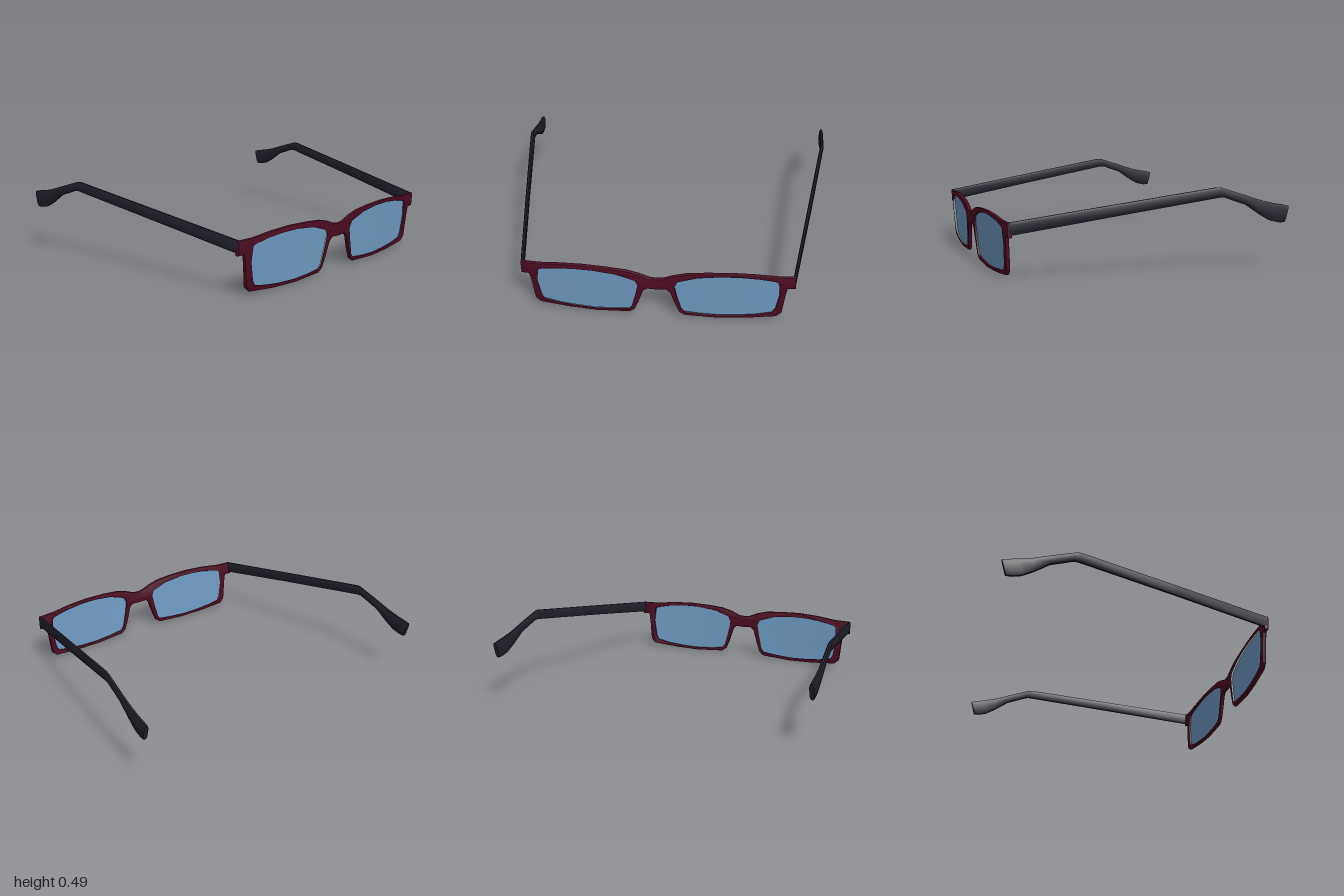
import * as THREE from 'three';
import { toCreasedNormals } from 'three/addons/utils/BufferGeometryUtils.js';

const mat = (name, color, side = THREE.FrontSide) =>
  Object.assign(new THREE.MeshStandardMaterial({ color, side }), { name });

// Half of the front outline, from top centre round to bottom centre
const HALF = [[0, 0.29], [0.04, 0.295], [0.1, 0.32], [0.17, 0.338], [0.28, 0.348], [0.42, 0.353],
  [0.55, 0.347], [0.68, 0.333], [0.785, 0.333], [0.787, 0.25], [0.742, 0.25], [0.734, 0.2],
  [0.72, 0.06], [0.69, 0.032], [0.52, 0.016], [0.35, 0.01], [0.16, 0.022], [0.13, 0.045],
  [0.108, 0.1], [0.078, 0.195], [0.055, 0.216], [0, 0.213]];

// Lens opening on the left side
const LENS = [[0.69, 0.292], [0.67, 0.303], [0.58, 0.32], [0.47, 0.33], [0.36, 0.33], [0.23, 0.315],
  [0.12, 0.278], [0.102, 0.24], [0.115, 0.17], [0.14, 0.07], [0.16, 0.045], [0.26, 0.033],
  [0.37, 0.027], [0.48, 0.032], [0.58, 0.042], [0.665, 0.06], [0.682, 0.09], [0.7, 0.2]];

// Temple stations: x, y, z, half width, half height, lean of the cut in z
const TEMPLE = [[0.776, 0.297, 0.765, 0.009, 0.036, 0], [0.87, 0.385, 0.18, 0.011, 0.032, 0],
  [0.958, 0.468, -0.385, 0.012, 0.028, 0.01], [0.962, 0.466, -0.41, 0.012, 0.028, 0.01],
  [0.972, 0.422, -0.54, 0.012, 0.03, 0.01], [0.978, 0.374, -0.64, 0.012, 0.04, -0.005],
  [0.982, 0.347, -0.71, 0.013, 0.049, -0.01], [0.984, 0.336, -0.765, 0.013, 0.05, -0.012],
  [0.985, 0.332, -0.798, 0.013, 0.046, -0.012]];

const vecs = (pts, s = 1) => pts.map(([x, y]) => new THREE.Vector2(s * x, y));

// Wrap curve across the face plus a slight backward tilt towards the bottom
function bend(geo) {
  const p = geo.attributes.position;
  for (let i = 0; i < p.count; i++) {
    const x = p.getX(i), y = p.getY(i);
    p.setZ(i, p.getZ(i) + 0.808 - 0.063 * x * x + 0.06 * (y - 0.3));
  }
  return geo;
}

function meshGeo(positions, index) {
  const geo = new THREE.BufferGeometry();
  geo.setAttribute('position', new THREE.Float32BufferAttribute(positions, 3));
  geo.setIndex(index);
  return geo;
}

function frameGeometry() {
  const mirrored = HALF.slice(1, -1).reverse().map(([x, y]) => [-x, y]);
  const shape = new THREE.Shape(vecs([...HALF, ...mirrored]));
  for (const s of [-1, 1]) shape.holes.push(new THREE.Path(vecs(LENS, s)));
  const geo = new THREE.ExtrudeGeometry(shape, {
    depth: 0.012, bevelThickness: 0.006, bevelSize: 0.006, bevelOffset: -0.006, bevelSegments: 2,
  });
  geo.translate(0, 0, -0.018);
  return toCreasedNormals(bend(geo), 0.7);
}

// Concentric rings let the lens follow the wrap curve
function lensGeometry(s) {
  const cx = 0.4, cy = 0.18, n = LENS.length, rings = 4;
  const pos = [s * cx, cy, -0.012], idx = [];
  const tri = (a, b, c) => (s > 0 ? idx.push(a, b, c) : idx.push(a, c, b));
  for (let r = 1; r <= rings; r++) {
    const k = 1.015 * r / rings;
    for (const [x, y] of LENS) pos.push(s * (cx + (x - cx) * k), cy + (y - cy) * k, -0.012);
    for (let j = 0; j < n; j++) {
      const a = 1 + (r - 1) * n + j, b = 1 + (r - 1) * n + (j + 1) % n;
      if (r === 1) tri(0, a, b);
      else { tri(a - n, a, b); tri(a - n, b, b - n); }
    }
  }
  const geo = bend(meshGeo(pos, idx));
  geo.computeVertexNormals();
  return geo;
}

// Loft of chamfered sections along the temple, closed at both ends
function templeGeometry(s) {
  const section = [[1, -0.6], [1, 0.6], [0.5, 1], [-0.5, 1], [-1, 0.6], [-1, -0.6], [-0.5, -1], [0.5, -1]];
  const n = section.length, pos = [], idx = [];
  TEMPLE.forEach(([x, y, z, w, h, lean], i) => {
    for (const [u, v] of section) pos.push(s * x + u * w, y + v * h, z + v * lean);
    if (i === 0) return;
    for (let j = 0; j < n; j++) {
      const a = (i - 1) * n + j, b = (i - 1) * n + (j + 1) % n;
      idx.push(a, a + n, b, b, a + n, b + n);
    }
  });
  const last = (TEMPLE.length - 1) * n;
  for (let j = 1; j < n - 1; j++) idx.push(0, j, j + 1, last, last + j + 1, last + j);
  return toCreasedNormals(meshGeo(pos, idx), 0.9);
}

export function createModel() {
  const burgundy = mat('burgundy frame', 0x4e0c22);
  const charcoal = mat('charcoal temples', 0x20202b);
  const blue = mat('blue lens', 0x6f9cc4, THREE.DoubleSide);

  const group = new THREE.Group();
  group.name = 'glasses';
  const add = (name, geo, material) => {
    const mesh = new THREE.Mesh(geo, material);
    mesh.name = name;
    group.add(mesh);
  };

  add('frontFrame', frameGeometry(), burgundy);
  for (const [side, s] of [['left', 1], ['right', -1]]) {
    add(side + 'Lens', lensGeometry(s), blue);
    add(side + 'Temple', templeGeometry(s), charcoal);
  }
  return group;
}
